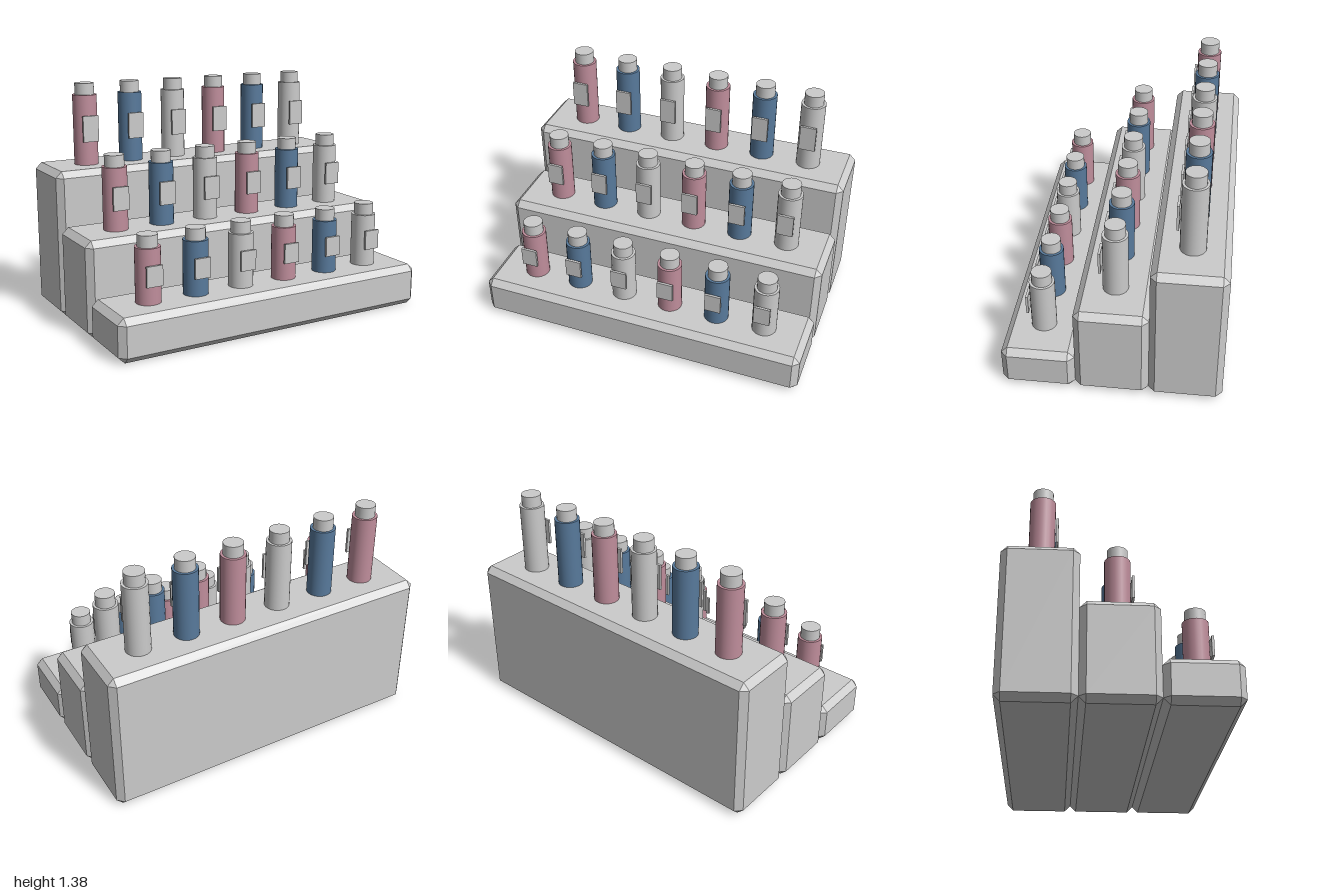
import * as THREE from 'three';
import { ConvexGeometry } from 'three/addons/geometries/ConvexGeometry.js';

const grey = new THREE.MeshStandardMaterial({ color: 0xcccccc });
const pink = new THREE.MeshStandardMaterial({ color: 0xc08e9c });
const blue = new THREE.MeshStandardMaterial({ color: 0x587a9c });

// Box with every edge cut by a single flat chamfer
function chamferBox(w, h, d, c) {
  const points = [];
  for (const sx of [-1, 1]) for (const sy of [-1, 1]) for (const sz of [-1, 1]) {
    const x = w / 2, y = h / 2, z = d / 2;
    points.push(
      new THREE.Vector3(sx * x, sy * (y - c), sz * (z - c)),
      new THREE.Vector3(sx * (x - c), sy * y, sz * (z - c)),
      new THREE.Vector3(sx * (x - c), sy * (y - c), sz * z));
  }
  return new ConvexGeometry(points);
}

function addMesh(parent, name, geometry, material, x, y, z) {
  const mesh = new THREE.Mesh(geometry, material);
  mesh.name = name;
  mesh.position.set(x, y, z);
  parent.add(mesh);
}

// Bottle standing on y = 0, with a cap and a flat label in front
function makeBottle(height, material) {
  const bottle = new THREE.Group();
  bottle.name = 'bottle';
  const capHeight = 0.069;
  addMesh(bottle, 'bottleBody', new THREE.CylinderGeometry(0.073, 0.073, height, 24), material, 0, height / 2, 0);
  addMesh(bottle, 'bottleCap', new THREE.CylinderGeometry(0.058, 0.058, capHeight, 24), grey, 0, height + capHeight / 2, 0);
  addMesh(bottle, 'label', new THREE.BoxGeometry(0.097, height * 0.37, 0.014), grey, 0, height * 0.527, 0.084);
  return bottle;
}

export function createModel() {
  const model = new THREE.Group();
  model.name = 'tieredBottleDisplay';
  const depth = 0.42;
  const tiers = [
    { top: 0.252, bottle: 0.317, z: depth },
    { top: 0.568, bottle: 0.37, z: 0 },
    { top: 0.885, bottle: 0.421, z: -depth },
  ];
  const colors = [pink, blue, grey];

  for (const tier of tiers) {
    // Step of the stand
    addMesh(model, 'step', chamferBox(2, tier.top, depth, 0.037), grey, 0, tier.top / 2, tier.z);
    // Row of six bottles in repeating colours
    for (let i = 0; i < 6; i++) {
      const bottle = makeBottle(tier.bottle, colors[i % 3]);
      bottle.position.set((i - 2.5) * 0.295, tier.top, tier.z);
      model.add(bottle);
    }
  }
  return model;
}
